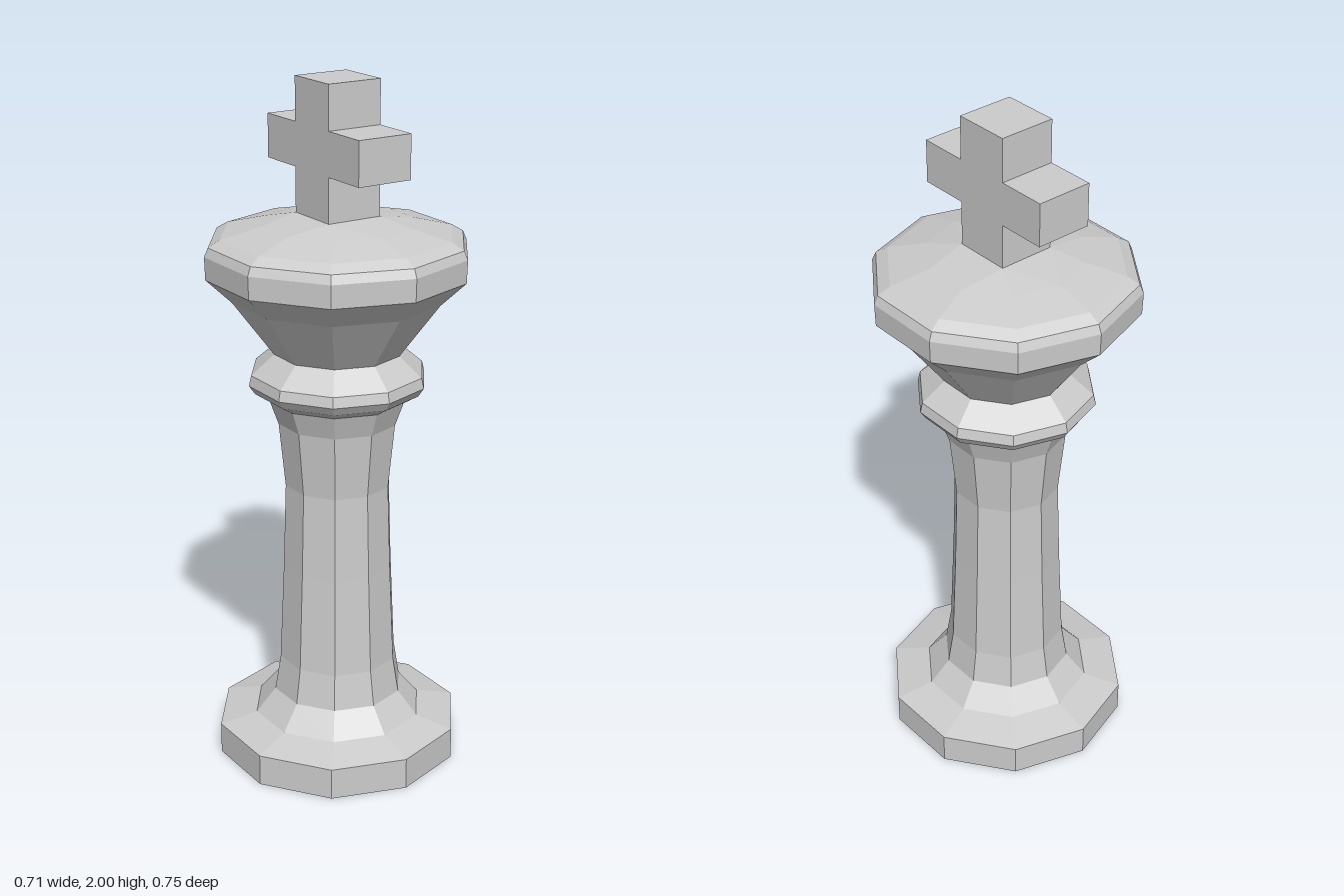
import * as THREE from 'three';
import { ConvexGeometry } from 'three/addons/geometries/ConvexGeometry.js';

const SIDES = 10;

export function createModel() {
  const group = new THREE.Group();
  const material = new THREE.MeshStandardMaterial({ color: 0xcccccc, flatShading: true });

  function add(name, geometry) {
    const mesh = new THREE.Mesh(geometry, material);
    mesh.name = name;
    group.add(mesh);
    return mesh;
  }

  // Ten-sided turned part from [radius, height] pairs, bottom to top
  function turned(name, profile) {
    const points = profile.map(([r, y]) => new THREE.Vector2(r, y));
    return add(name, new THREE.LatheGeometry(points, SIDES));
  }

  // Ring of corners matching the turned parts
  function ring(r, y) {
    return Array.from({ length: SIDES }, (_, i) => {
      const a = (i / SIDES) * Math.PI * 2;
      return new THREE.Vector3(Math.sin(a) * r, y, Math.cos(a) * r);
    });
  }

  // Foot plate, closed underneath
  turned('base', [[0, 0], [0.36, 0], [0.36, 0.093], [0.25, 0.12]]);

  // Waisted column
  turned('column', [
    [0.25, 0.12], [0.192, 0.19], [0.175, 0.295], [0.162, 0.59],
    [0.154, 0.84], [0.173, 1.03], [0.198, 1.10],
  ]);

  // Ring under the head
  turned('collar', [[0.198, 1.10], [0.24, 1.125], [0.257, 1.15], [0.25, 1.18], [0.184, 1.237]]);

  // Flared head
  turned('head', [
    [0.184, 1.237], [0.3, 1.395], [0.373, 1.465],
    [0.375, 1.53], [0.364, 1.555], [0.33, 1.575],
  ]);

  // Sloping top that changes from ten sides to the square foot of the cross
  const w = 0.083;
  const foot = [[-w, -w], [w, -w], [w, w], [-w, w]].map(([x, z]) => new THREE.Vector3(x, 1.625, z));
  add('crown', new ConvexGeometry([...ring(0.33, 1.575), ...ring(0.22, 1.602), ...foot]));

  // Cross, with its arms running front to back
  const arm = 0.226, low = 1.752, high = 1.876;
  const outline = [
    [-w, 1.61], [w, 1.61], [w, low], [arm, low], [arm, high], [w, high],
    [w, 2], [-w, 2], [-w, high], [-arm, high], [-arm, low], [-w, low],
  ].map(([x, y]) => new THREE.Vector2(x, y));
  const cross = new THREE.ExtrudeGeometry(new THREE.Shape(outline), { depth: 2 * w, bevelEnabled: false });
  cross.translate(0, 0, -w).rotateY(Math.PI / 2);
  add('cross', cross);

  return group;
}
